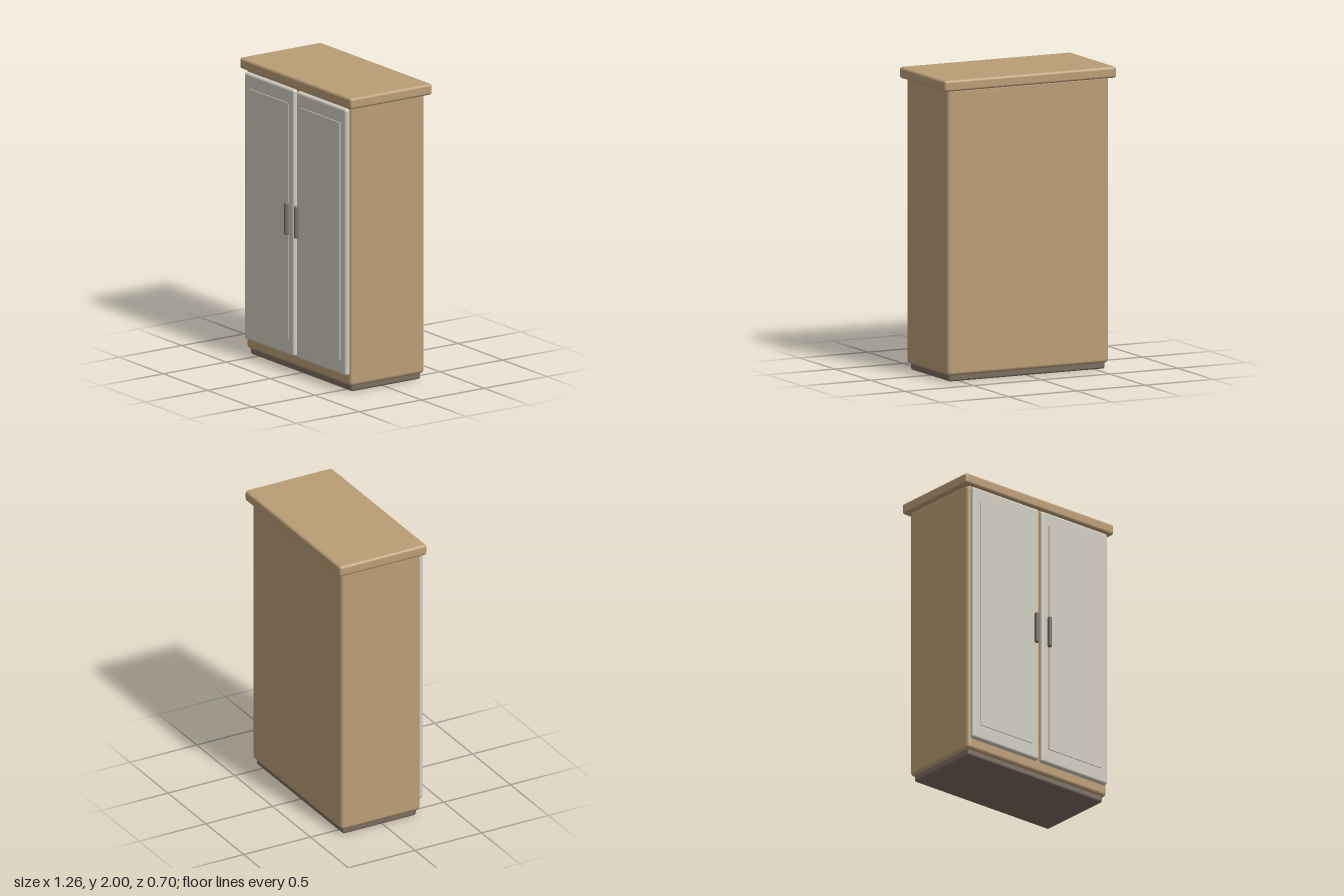
import * as THREE from 'three';
import { RoundedBoxGeometry } from 'three/addons/geometries/RoundedBoxGeometry.js';

const material = (name, color) => {
  const m = new THREE.MeshStandardMaterial({ color });
  m.name = name;
  return m;
};

// Box given by its limits on each axis, with optional rounded edges
function block(name, mat, [x0, x1], [y0, y1], [z0, z1], radius = 0) {
  const size = [x1 - x0, y1 - y0, z1 - z0];
  const geometry = radius
    ? new RoundedBoxGeometry(...size, 4, radius)
    : new THREE.BoxGeometry(...size);
  const mesh = new THREE.Mesh(geometry, mat);
  mesh.name = name;
  mesh.position.set((x0 + x1) / 2, (y0 + y1) / 2, (z0 + z1) / 2);
  return mesh;
}

export function createModel() {
  const wood = material('warm wood', 0xba9d76);
  const paint = material('pale door paint', 0xd0ccc0);
  const dark = material('dark brown trim', 0x7b6d60);

  const wardrobe = new THREE.Group();
  wardrobe.name = 'wardrobe';

  // Carcass on a recessed plinth, with an overhanging top
  wardrobe.add(
    block('plinth', dark, [-0.573, 0.573], [0, 0.08], [-0.297, 0.255], 0.015),
    block('body', wood, [-0.592, 0.592], [0.04, 1.94], [-0.317, 0.275], 0.025),
    block('topBoard', wood, [-0.631, 0.631], [1.925, 2], [-0.35, 0.302], 0.018),
  );

  // Mirrored doors, each with a raised panel and a bar handle near the middle
  for (const [label, side] of [['left', 1], ['right', -1]]) {
    const span = (a, b) => (side > 0 ? [a, b] : [-b, -a]);
    const door = new THREE.Group();
    door.name = label + 'Door';
    door.add(
      block(label + 'DoorLeaf', paint, span(0.011, 0.575), [0.112, 1.915], [0.265, 0.305], 0.017),
      block(label + 'DoorPanel', paint, span(0.069, 0.513), [0.212, 1.816], [0.3, 0.312]),
      block(label + 'Handle', dark, span(0.043, 0.067), [0.935, 1.152], [0.319, 0.347], 0.009),
    );
    wardrobe.add(door);
  }
  return wardrobe;
}
